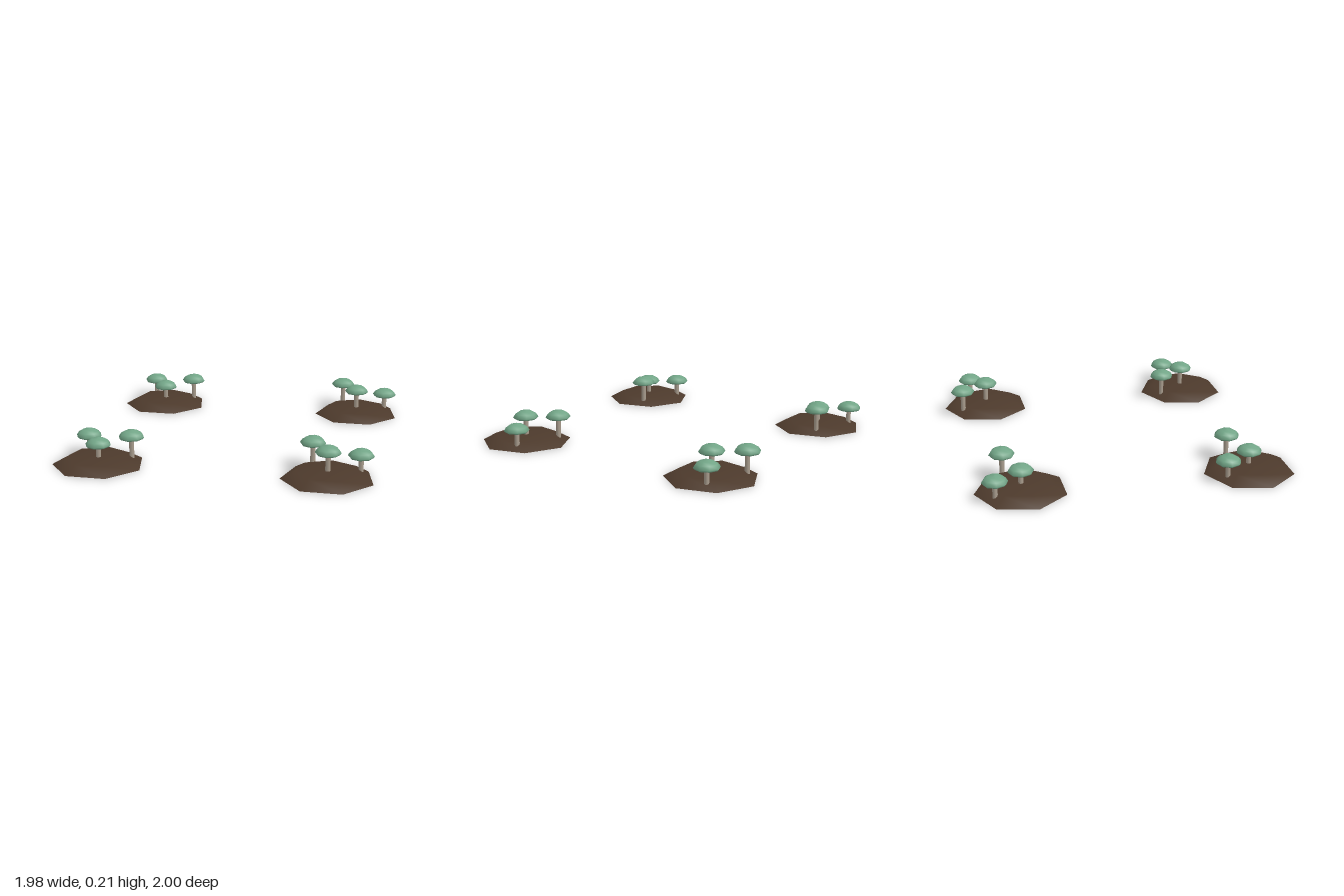
import * as THREE from 'three';

const soil = new THREE.MeshStandardMaterial({ name: 'soil brown', color: 0x4d3a2c });
const capGreen = new THREE.MeshStandardMaterial({ name: 'cap green', color: 0x72a587 });
const stemBeige = new THREE.MeshStandardMaterial({ name: 'stem beige', color: 0xa99d8e });

const MOUND_R = 0.287;
const lathe = (pts, sides) =>
  new THREE.LatheGeometry(pts.map(([r, y]) => new THREE.Vector2(r, y)), sides);

// Seven-sided mound with sloping flanks and a flat top
const moundGeo = lathe([[MOUND_R, 0.002], [0.2, 0.05], [0, 0.05]], 7).rotateY(Math.PI);
const baseGeo = new THREE.CircleGeometry(MOUND_R, 7)
  .rotateZ(Math.PI / 2).rotateX(Math.PI / 2).rotateY(Math.PI).translate(0, 0.002, 0);

// Domed cap with a short lip tucked under the rim
const domeGeo = lathe([[0.07, 0], [0.081, 0.012], [0.066, 0.034], [0.04, 0.05], [0, 0.057]], 8);
const underGeo = new THREE.CircleGeometry(0.07, 8).rotateX(Math.PI / 2);

function add(parent, geometry, material, name) {
  const mesh = new THREE.Mesh(geometry, material);
  mesh.name = name;
  parent.add(mesh);
  return mesh;
}

function mushroom(x, z, rimY) {
  const group = new THREE.Group();
  group.name = 'mushroom';
  group.position.set(x, 0, z);
  const h = rimY + 0.01;
  add(group, new THREE.CylinderGeometry(0.016, 0.016, h, 8).translate(0, h / 2, 0), stemBeige, 'stem');
  add(group, domeGeo, capGreen, 'cap').position.y = rimY;
  add(group, underGeo, capGreen, 'capUnderside').position.y = rimY;
  return group;
}

// Mushroom positions relative to the mound centre: back, side, middle
const SPOTS = [[-0.117, -0.172], [0.187, -0.087], [0, 0]];
const LOW = 0.117, HIGH = 0.152;

function patch(x, z, heights) {
  const group = new THREE.Group();
  group.name = 'mushroomPatch';
  group.position.set(x, 0, z);
  add(group, moundGeo, soil, 'mound');
  add(group, baseGeo, soil, 'moundUnderside');
  SPOTS.forEach(([sx, sz], i) => group.add(mushroom(sx, sz, heights[i])));
  return group;
}

export function createModel() {
  const model = new THREE.Group();
  model.name = 'mushroomPatches';
  const leftHeights = [HIGH, LOW, HIGH];
  const rightHeights = [LOW, HIGH, LOW];
  model.add(
    patch(0.707, 0.705, leftHeights),
    patch(0.707, -0.713, leftHeights),
    patch(-0.71, 0.741, rightHeights),
    patch(-0.678, -0.683, rightHeights),
  );
  return model;
}
